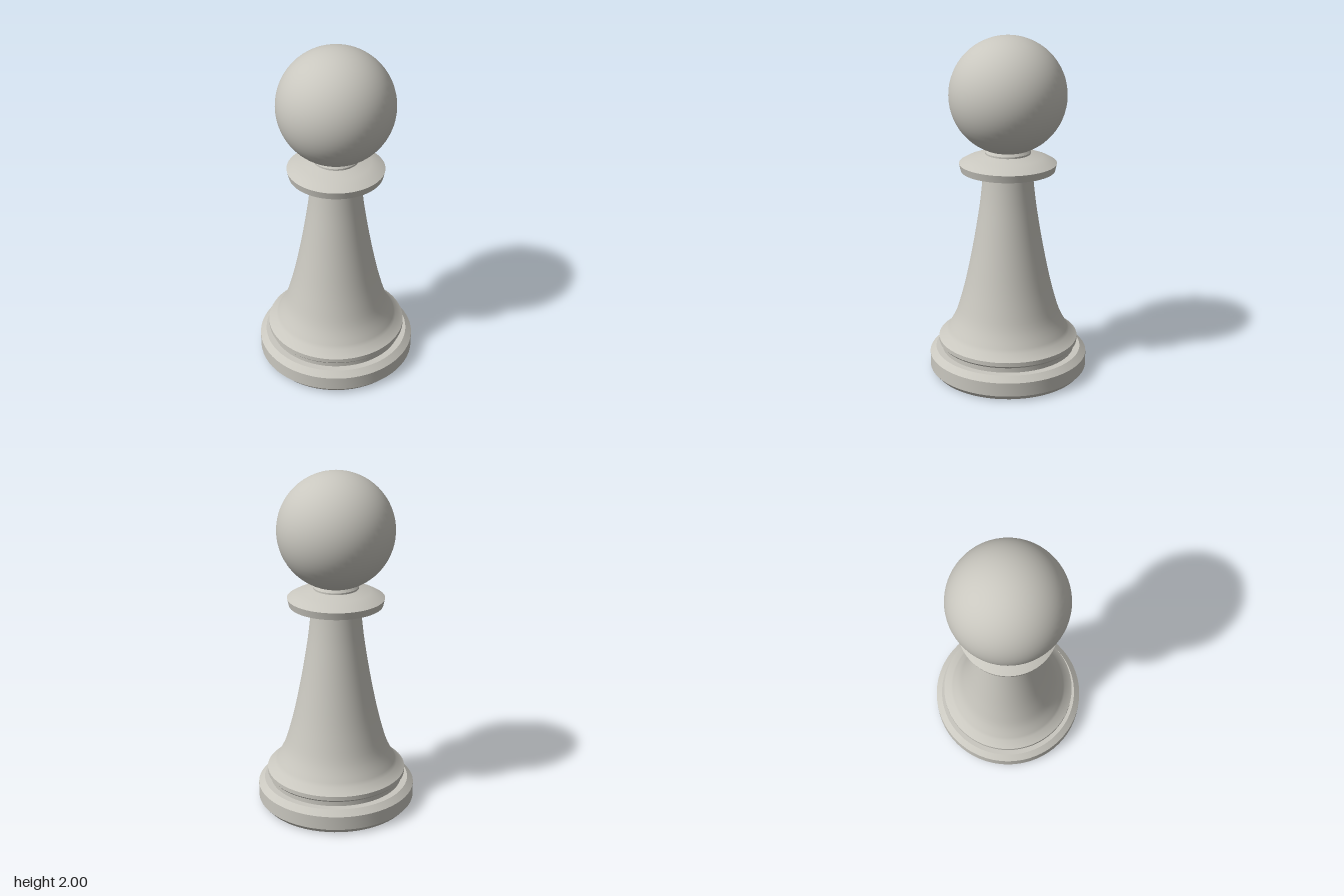
import * as THREE from 'three';
import { toCreasedNormals } from 'three/addons/utils/BufferGeometryUtils.js';

const SEGMENTS = 64;

export function createModel() {
  const group = new THREE.Group();
  group.name = 'pawn';
  const stone = new THREE.MeshStandardMaterial({ color: 0xc9c7bf });
  stone.name = 'warm grey';

  // Turns a bottom-to-top [radius, height] profile, keeping corners sharp
  const turn = (name, profile, crease = 0.35) => {
    const points = profile.map(([r, y]) => new THREE.Vector2(r, y));
    const geometry = toCreasedNormals(new THREE.LatheGeometry(points, SEGMENTS), crease);
    const mesh = new THREE.Mesh(geometry, stone);
    mesh.name = name;
    group.add(mesh);
  };

  // Bevelled foot
  turn('base', [[0, 0], [0.44, 0], [0.466, 0.03], [0.466, 0.112], [0.43, 0.143], [0.385, 0.143]]);

  // Recessed step and the ring above it
  turn('baseRing', [[0.392, 0.143], [0.392, 0.175], [0.4, 0.175], [0.411, 0.187], [0.411, 0.212]]);

  // Flared stem, smoothly curved
  const stem = new THREE.SplineCurve([
    [0.365, 0.247], [0.312, 0.345], [0.275, 0.46], [0.24, 0.6], [0.2, 0.8],
    [0.167, 1.0], [0.152, 1.12], [0.145, 1.2],
  ].map(([r, y]) => new THREE.Vector2(r, y)));
  turn('stem', [[0.411, 0.212], ...stem.getPoints(24).map((p) => [p.x, p.y])], 0.6);

  // Collar disc with a domed top
  turn('collar', [[0.14, 1.2], [0.145, 1.2], [0.27, 1.232], [0.28, 1.275], [0.245, 1.295],
    [0.2, 1.312], [0.13, 1.33]]);

  // Short neck under the head
  turn('neck', [[0.13, 1.33], [0.13, 1.34], [0.118, 1.357]]);

  // Ball head
  const head = new THREE.Mesh(new THREE.SphereGeometry(0.334, SEGMENTS, 32), stone);
  head.name = 'head';
  head.position.y = 1.666;
  group.add(head);

  return group;
}
